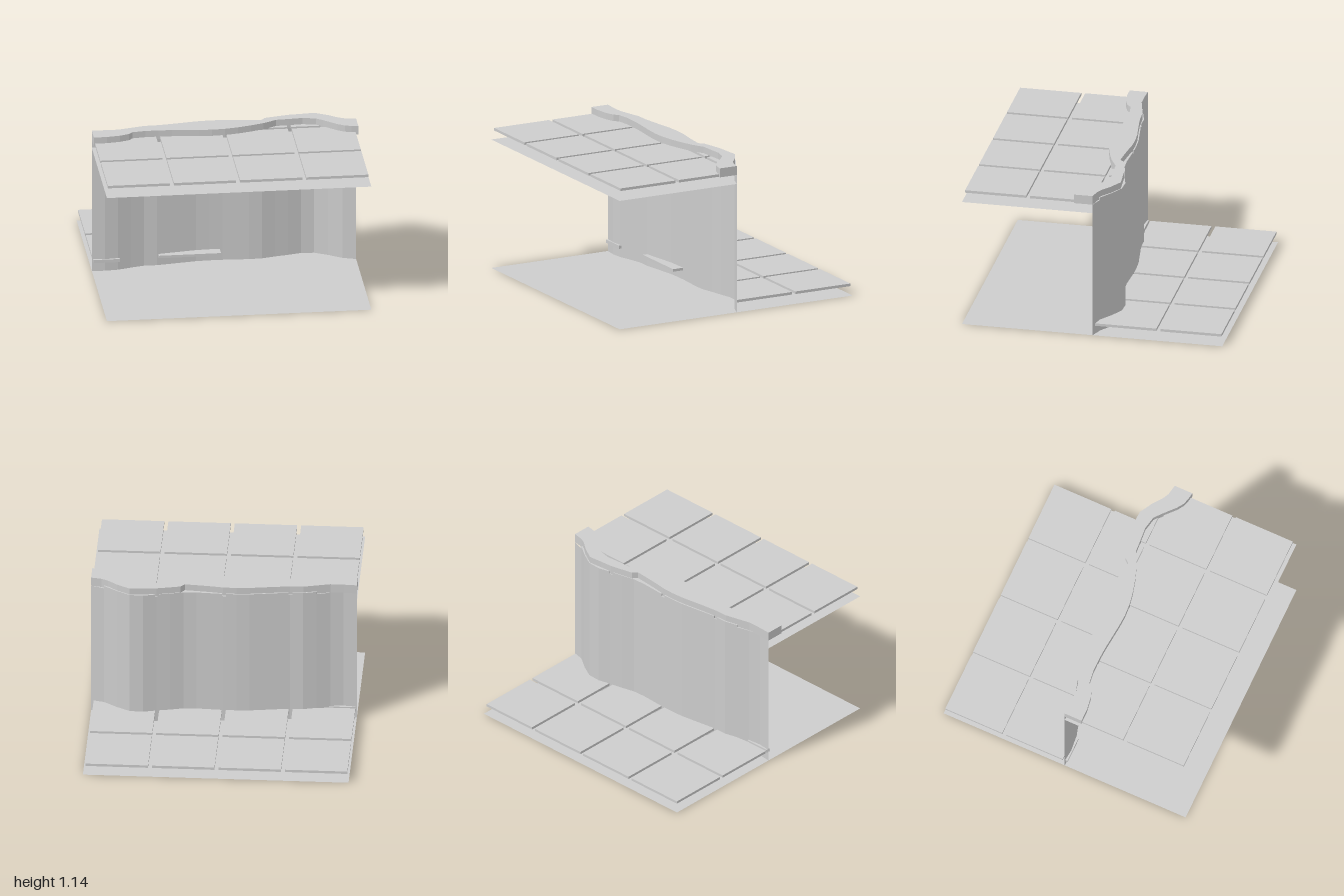
import * as THREE from 'three';

// Cliff line: z at x = -1, -0.9 ... 1
const CLIFF = [0, 0.01, 0, -0.03, -0.055, -0.055, -0.07, -0.085, -0.1, -0.105, -0.105,
  -0.1, -0.095, -0.1, -0.125, -0.145, -0.17, -0.165, -0.11, -0.04, -0.005];
const cliffX = i => -1 + i * 0.1;
function cliffZ(x) {
  const t = Math.min(Math.max((x + 1) / 0.1, 0), 19.9999), i = Math.floor(t);
  return CLIFF[i] + (CLIFF[i + 1] - CLIFF[i]) * (t - i);
}

// Front and back edges of the ledge cap, as [x, z]
const CAP_FRONT = [[-1, 0.14], [-0.9, 0.14], [-0.8, 0.125], [-0.73, 0.1], [-0.7, 0.068], [-0.6, 0.055],
  [-0.5, 0.055], [-0.4, 0.06], [-0.3, 0.07], [-0.2, 0.08], [-0.1, 0.086], [0, 0.08], [0.1, 0.062],
  [0.2, 0.035], [0.3, 0], [0.35, -0.025], [0.4, -0.052], [0.5, -0.058], [0.6, -0.066], [0.7, -0.045],
  [0.75, -0.005], [0.8, 0.04], [0.85, 0.085], [0.9, 0.118], [0.95, 0.132], [1, 0.14]];
const CAP_BACK = [[-1, 0], [-0.9, 0.005], [-0.8, 0.005], [-0.7, -0.02], [-0.6, -0.045], [-0.5, -0.048],
  [-0.4, -0.06], [-0.3, -0.075], [-0.2, -0.09], [-0.1, -0.097], [0, -0.095], [0.1, -0.082], [0.2, -0.072],
  [0.29, -0.065], [0.32, -0.1], [0.4, -0.118], [0.5, -0.14], [0.6, -0.148], [0.7, -0.157], [0.8, -0.1],
  [0.87, -0.045], [0.92, -0.02], [1, -0.005]];

export function createModel() {
  const model = new THREE.Group();
  model.name = 'tiledCliff';
  const stone = new THREE.MeshStandardMaterial({ color: 0xcccccc, side: THREE.DoubleSide, flatShading: true });
  stone.name = 'paleStone';

  const add = (name, geometry, parent = model) => {
    const mesh = new THREE.Mesh(geometry, stone);
    mesh.name = name;
    parent.add(mesh);
  };
  const outline = pts => new THREE.Shape(pts.map(([x, z]) => new THREE.Vector2(x, -z)));
  // Horizontal slab with an [x, z] outline between two heights
  const slab = (pts, y0, y1) => new THREE.ExtrudeGeometry(outline(pts), { depth: y1 - y0, bevelEnabled: false })
    .rotateX(-Math.PI / 2).translate(0, y0, 0);

  // Lower ground and upper shelf, both thin sheets
  add('ground', new THREE.PlaneGeometry(2, 2).rotateX(-Math.PI / 2));
  const edge = CLIFF.map((z, i) => [cliffX(i), z]);
  add('upperShelf', new THREE.ShapeGeometry(outline([[-1, 1], [1, 1], ...edge.slice().reverse()]))
    .rotateX(-Math.PI / 2).translate(0, 1, 0));

  // Faceted wall: a strip bent along the cliff line
  const wall = new THREE.PlaneGeometry(2, 1.07, 20, 1).translate(0, 0.535, 0);
  const p = wall.attributes.position;
  for (let i = 0; i < p.count; i++) p.setZ(i, CLIFF[i % 21]);
  wall.computeVertexNormals();
  add('cliffWall', wall);

  // Raised stone lip along the top of the wall
  add('ledgeCap', slab([...CAP_FRONT, ...CAP_BACK.slice().reverse()], 1.07, 1.14));

  // Paving tiles, cut off where they meet the wall
  const upper = new THREE.Group(), lower = new THREE.Group();
  upper.name = 'upperPaving';
  lower.name = 'lowerPaving';
  model.add(upper, lower);
  const tile = (parent, x0, z0, y, cut) => {
    const xs = [x0];
    for (let i = 0; i < 21; i++) if (cliffX(i) > x0 + 0.001 && cliffX(i) < x0 + 0.469) xs.push(cliffX(i));
    xs.push(x0 + 0.47);
    const back = [], front = [];
    for (const x of xs) {
      const zb = cut === 'back' ? Math.max(z0, cliffZ(x)) : z0;
      const zf = cut === 'front' ? Math.min(z0 + 0.47, cliffZ(x)) : z0 + 0.47;
      if (zf - zb < 0.004) continue;
      back.unshift([x, zb]);
      front.push([x, zf]);
    }
    if (front.length > 1) add('pavingTile', slab([...front, ...back], y, y + 0.02), parent);
  };
  for (let i = 0; i < 4; i++) {
    const x = -0.99 + i * 0.5;
    tile(upper, x, 0.51, 1.07);
    tile(upper, x, 0.01, 1.07);
    tile(upper, x, -0.49, 1.07, 'back');
    tile(lower, x, -0.99, 0.07);
    // The second tile runs on through the wall
    tile(lower, x, -0.49, 0.07, i === 1 ? undefined : 'front');
  }
  // Sliver of a tile showing in front of the wall's left bulge
  add('tileSliver', new THREE.BoxGeometry(0.2, 0.025, 0.03).translate(-0.89, 0.082, 0.005), lower);
  return model;
}
